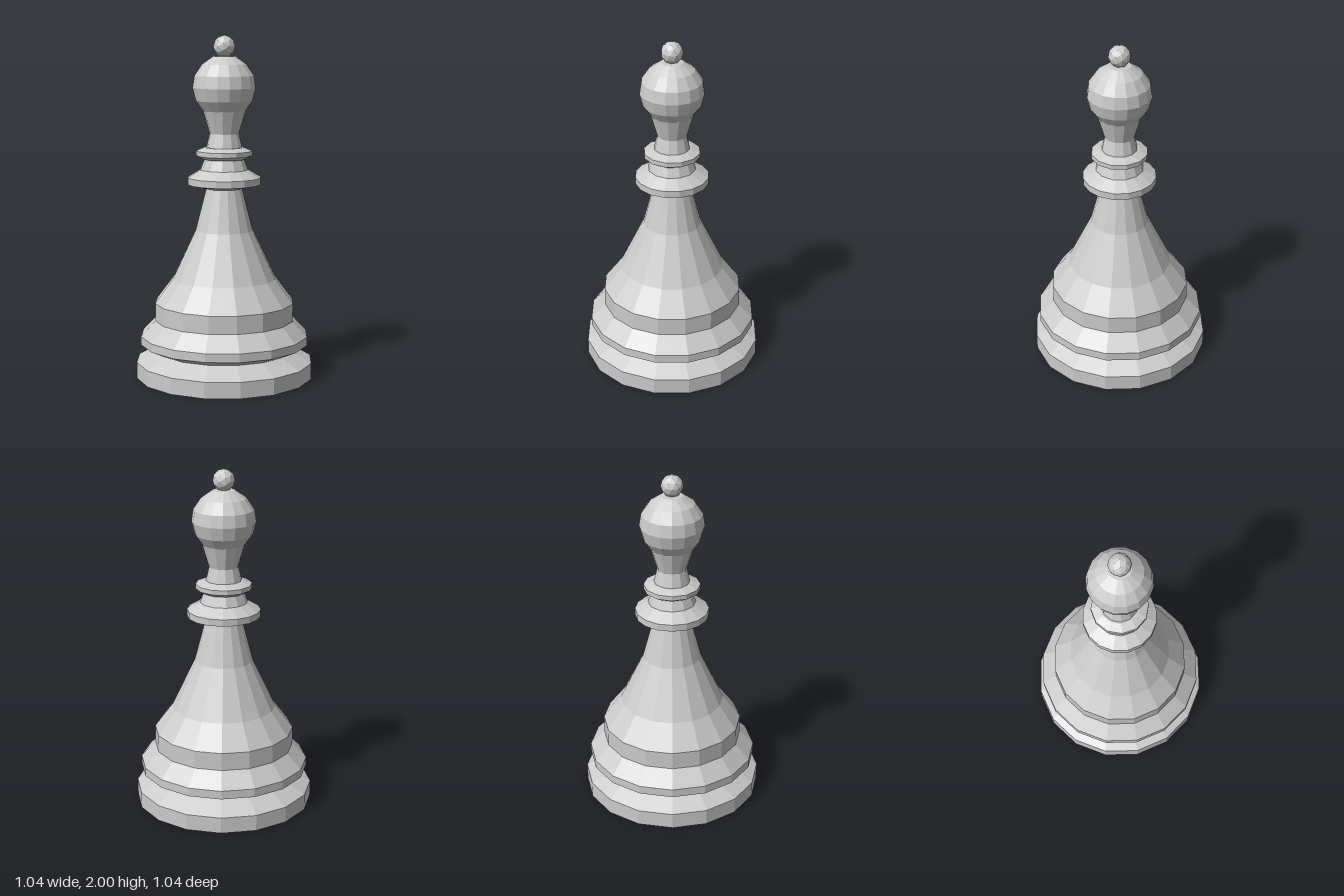
import * as THREE from 'three';

const material = new THREE.MeshStandardMaterial({ color: 0xcccccc, flatShading: true });

// Turned part from a [radius, height] profile, listed bottom to top
function turned(name, sides, profile) {
  const points = profile.map(([r, y]) => new THREE.Vector2(r, y));
  const mesh = new THREE.Mesh(new THREE.LatheGeometry(points, sides), material);
  mesh.name = name;
  return mesh;
}

export function createModel() {
  const group = new THREE.Group();
  group.name = 'chessBishop';

  // Stepped foot
  group.add(turned('base', 16, [
    [0, 0], [0.522, 0], [0.522, 0.095], [0.405, 0.16],
    [0.495, 0.2], [0.495, 0.25], [0.41, 0.34],
  ]));

  // Flaring body
  group.add(turned('body', 16, [
    [0.41, 0.34], [0.41, 0.445], [0.305, 0.585], [0.17, 0.87], [0.105, 1.12],
  ]));

  // Wide collar under the neck
  group.add(turned('collar', 16, [
    [0, 1.115], [0.11, 1.115], [0.214, 1.14], [0.214, 1.18], [0.14, 1.225], [0, 1.225],
  ]));

  // Neck with its small ring
  group.add(turned('lowerNeck', 12, [[0.14, 1.222], [0.11, 1.3]]));
  group.add(turned('neckRing', 12, [
    [0, 1.285], [0.13, 1.288], [0.164, 1.308], [0.164, 1.335], [0.115, 1.355], [0, 1.355],
  ]));
  group.add(turned('upperNeck', 12, [[0.105, 1.35], [0.085, 1.435], [0.125, 1.57]]));

  // Rounded head
  group.add(turned('head', 16, [
    [0, 1.56], [0.122, 1.565], [0.165, 1.625], [0.185, 1.7],
    [0.174, 1.77], [0.13, 1.835], [0.065, 1.88], [0, 1.885],
  ]));

  // Faceted ball on top
  const finial = new THREE.Mesh(new THREE.IcosahedronGeometry(0.064, 1), material);
  finial.name = 'finial';
  finial.position.y = 1.937;
  group.add(finial);

  return group;
}
